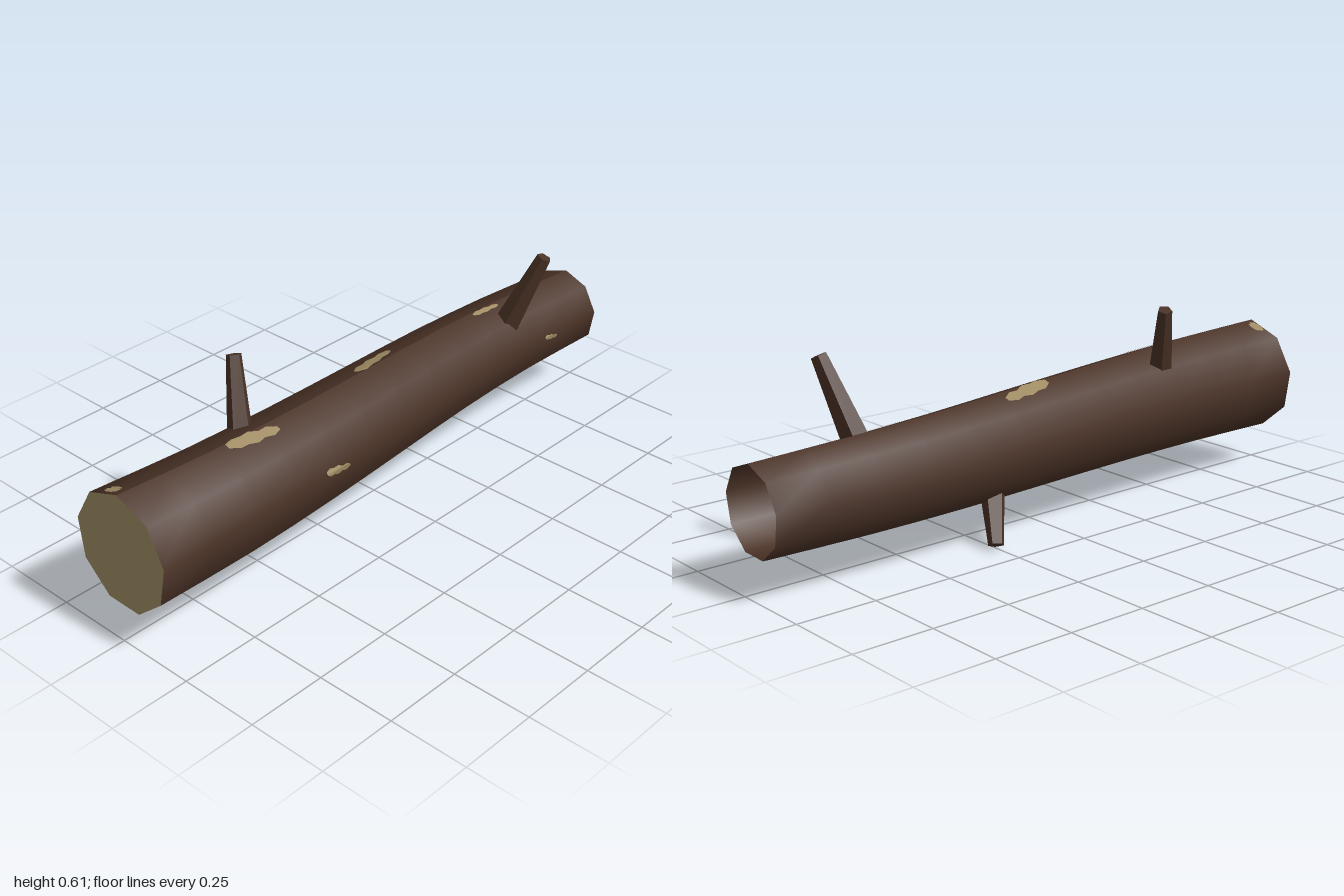
import * as THREE from 'three';

const SIDES = 9;
const STEP = (Math.PI * 2) / SIDES;
const lerp = THREE.MathUtils.lerp;

// Gently bent centre line, evenly spaced along x
const path = new THREE.CatmullRomCurve3(
  [0.01, 0.015, 0.002, -0.02, -0.042, -0.05, -0.04].map((z, i) =>
    new THREE.Vector3(-0.993 + i * 0.331, 0.292 - i * 0.0075, z)));

// Point on the nine-sided trunk; angle runs from the top towards the front
function trunkPoint(t, angle, lift = 0, scale = 1) {
  const c = path.getPoint(t);
  const d = path.getTangent(t);
  const r = lerp(0.18, 0.133, t) * scale + lift;
  const k = Math.floor(angle / STEP + 1e-6);
  const f = angle / STEP - k;
  const dy = r * lerp(Math.cos(k * STEP), Math.cos((k + 1) * STEP), f);
  const dz = r * lerp(Math.sin(k * STEP), Math.sin((k + 1) * STEP), f);
  return new THREE.Vector3(c.x - (d.y * dy + d.z * dz) / d.x, c.y + dy, c.z + dz);
}

// Surface from a grid of points, u and v running 0..1
function grid(nu, nv, fn) {
  const pos = [], idx = [];
  for (let i = 0; i <= nu; i++) {
    for (let j = 0; j <= nv; j++) {
      pos.push(...fn(i / nu, j / nv).toArray());
      if (i < nu && j < nv) {
        const a = i * (nv + 1) + j, c = a + nv + 1;
        idx.push(a, a + 1, c, a + 1, c + 1, c);
      }
    }
  }
  const g = new THREE.BufferGeometry();
  g.setAttribute('position', new THREE.Float32BufferAttribute(pos, 3));
  g.setIndex(idx);
  g.computeVertexNormals();
  return g;
}

export function createModel() {
  const model = new THREE.Group();
  model.name = 'log';
  const bark = new THREE.MeshStandardMaterial({ color: 0x4a3226, side: THREE.DoubleSide });
  bark.name = 'bark';
  const branchBark = bark.clone();
  branchBark.flatShading = true;
  branchBark.name = 'bark faceted';
  const wood = new THREE.MeshStandardMaterial({ color: 0xa08c64, side: THREE.DoubleSide });
  wood.name = 'bare wood';

  const add = (name, geometry, material) => {
    const mesh = new THREE.Mesh(geometry, material);
    mesh.name = name;
    model.add(mesh);
    return mesh;
  };

  // Hollow trunk, open at the thin end, closed by a wood disc at the thick end
  add('trunk', grid(12, SIDES, (u, v) => trunkPoint(u, v * Math.PI * 2)), bark);
  add('cutEnd', grid(1, SIDES, (u, v) => trunkPoint(0, v * Math.PI * 2, 0, u)), wood);

  // Tapered branch stubs: base, tip, base radius, tip radius
  const up = new THREE.Vector3(0, 1, 0);
  [
    ['backBranch', [-0.487, 0.37, -0.06], [-0.432, 0.605, -0.134], 0.04, 0.023],
    ['frontBranch', [0.61, 0.345, 0.015], [0.669, 0.592, 0.107], 0.043, 0.024],
    ['lowerBranch', [0.195, 0.183, -0.062], [0.255, 0.012, -0.154], 0.042, 0.024],
  ].forEach(([name, from, to, r0, r1]) => {
    const a = new THREE.Vector3(...from), b = new THREE.Vector3(...to);
    const dir = b.clone().sub(a);
    const mesh = add(name, new THREE.CylinderGeometry(r1, r0, dir.length(), 5), branchBark);
    mesh.position.copy(a).add(b).multiplyScalar(0.5);
    mesh.quaternion.setFromUnitVectors(up, dir.normalize());
  });

  // Ragged bare patches: x start, x end, angle at start and end, half width (degrees)
  const ragged = [0.35, 0.9, 0.75, 1, 0.6, 0.8, 0.3];
  [
    [-0.385, -0.285, 78, 84, 5],
    [0.725, 0.79, 80, 85, 4],
    [-0.62, -0.44, 4, 12, 8],
    [-0.045, 0.14, -6, -15, 10],
    [-0.985, -0.95, -15, -15, 10],
    [0.5, 0.62, 5, 7, 4],
  ].forEach(([x0, x1, a0, a1, half], i) => {
    add('barePatch' + (i + 1), grid(6, 6, (u, v) => {
      const w = half * ragged[Math.round(u * 6)];
      const angle = lerp(a0, a1, u) + (v * 2 - 1) * w;
      return trunkPoint((lerp(x0, x1, u) + 0.993) / 1.986, angle * Math.PI / 180, 0.004);
    }), wood);
  });

  return model;
}
